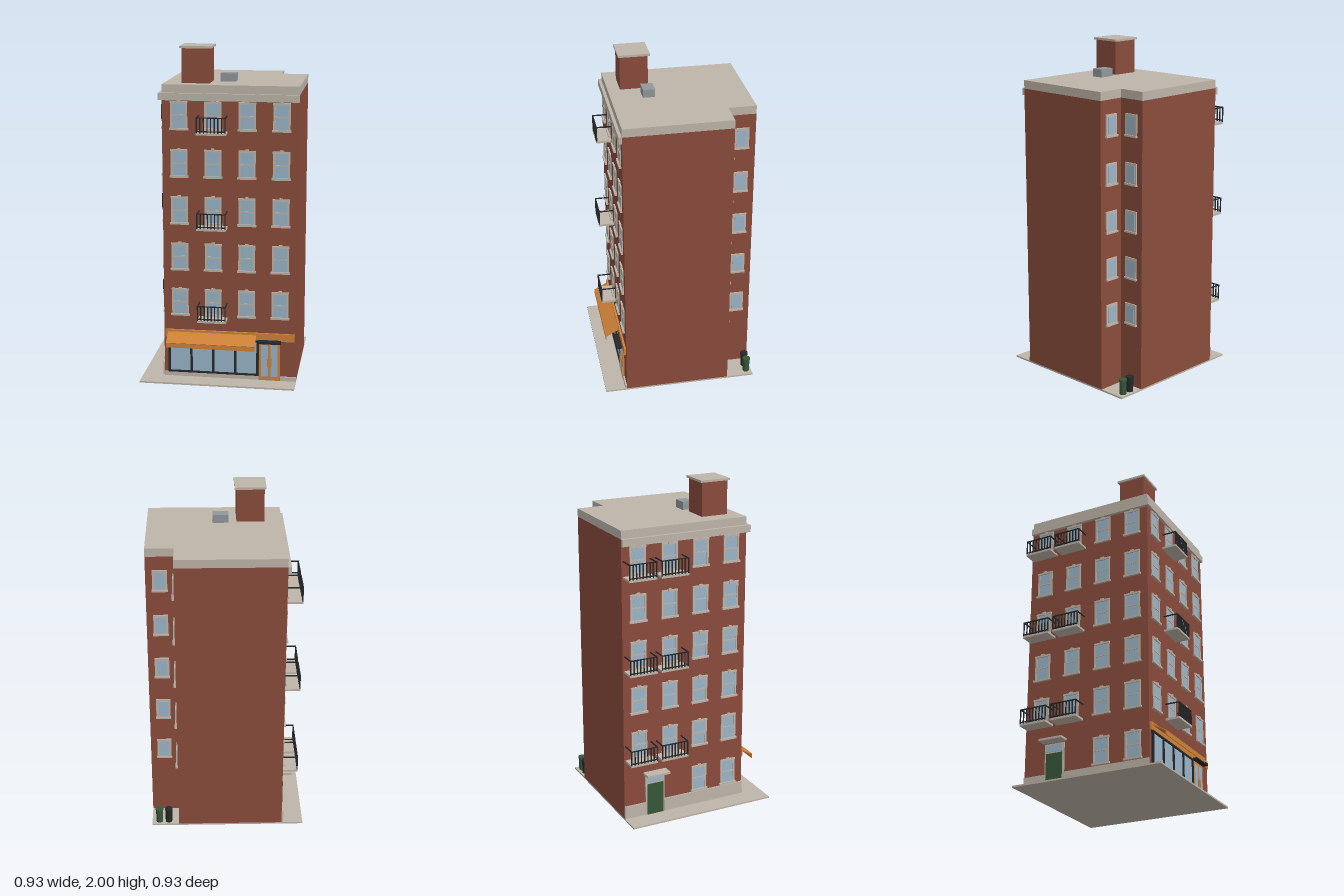
import * as THREE from 'three';

const mat = (name, color, side = THREE.FrontSide) => {
  const m = new THREE.MeshStandardMaterial({ color, side });
  m.name = name;
  return m;
};
const brick = mat('brick', 0x8a4c3c);
const stone = mat('stone', 0xbeb5a9);
const glass = mat('glass', 0x9bb5c8);
const iron = mat('blackIron', 0x25272a);
const orange = mat('orange', 0xd08238, THREE.DoubleSide);
const green = mat('green', 0x35573a);
const metal = mat('greyMetal', 0x92979d);

const FRONT = 0.335, LEFT = -0.335, EDGE = 0.465, NOTCH = 0.3;
const FLOORS = [0, 1, 2, 3, 4].map(i => 0.395 + i * 0.2815);

// Box given by its limits on each axis
function box(parent, name, m, x0, x1, y0, y1, z0, z1) {
  const mesh = new THREE.Mesh(new THREE.BoxGeometry(x1 - x0, y1 - y0, z1 - z0), m);
  mesh.position.set((x0 + x1) / 2, (y0 + y1) / 2, (z0 + z1) / 2);
  mesh.name = name;
  parent.add(mesh);
  return mesh;
}

function group(parent, name, x = 0, y = 0, z = 0, turn = 0) {
  const g = new THREE.Group();
  g.name = name;
  g.position.set(x, y, z);
  g.rotation.y = turn;
  parent.add(g);
  return g;
}

// L-shaped floor plan raised between two heights
function planSlab(parent, name, m, y0, y1) {
  const pts = [[LEFT, -FRONT], [EDGE, -FRONT], [EDGE, NOTCH], [NOTCH, NOTCH], [NOTCH, EDGE], [LEFT, EDGE]];
  const shape = new THREE.Shape(pts.map(p => new THREE.Vector2(...p)));
  const geo = new THREE.ExtrudeGeometry(shape, { depth: y1 - y0, bevelEnabled: false });
  const mesh = new THREE.Mesh(geo.rotateX(-Math.PI / 2), m);
  mesh.position.y = y0;
  mesh.name = name;
  parent.add(mesh);
}

// Sash window; the origin is the bottom centre on the wall, facing +z
function sashWindow(wall, x, y, h = 0.165) {
  const w = group(wall, 'window', x, y, 0);
  box(w, 'pane', glass, -0.042, 0.042, 0.01, h, 0, 0.003);
  for (const s of [-1, 1]) box(w, 'jamb', stone, s * 0.044 - 0.006, s * 0.044 + 0.006, 0.01, h, 0, 0.006);
  box(w, 'meetingRail', stone, -0.04, 0.04, h * 0.52 - 0.004, h * 0.52 + 0.004, 0, 0.006);
  box(w, 'lintel', stone, -0.051, 0.051, h - 0.008, h + 0.004, 0, 0.009);
  box(w, 'keystone', stone, -0.01, 0.01, h - 0.01, h + 0.011, 0, 0.011);
  box(w, 'sill', stone, -0.056, 0.056, 0, 0.012, 0, 0.014);
}

// Plain framed window for the rear light well
function plainWindow(wall, y) {
  const w = group(wall, 'rearWindow', 0, y, 0);
  box(w, 'frame', stone, -0.043, 0.043, 0.005, 0.132, 0, 0.008);
  box(w, 'pane', glass, -0.03, 0.03, 0.02, 0.118, 0.008, 0.01);
  box(w, 'sill', stone, -0.046, 0.046, 0, 0.011, 0, 0.014);
}

// Balcony with a stone floor and iron railing
function balcony(wall, x, y) {
  const b = group(wall, 'balcony', x, y, 0);
  box(b, 'floor', stone, -0.086, 0.086, -0.015, -0.002, 0, 0.09);
  for (const h of [0.004, 0.083]) {
    box(b, 'frontRail', iron, -0.086, 0.086, h, h + 0.006, 0.084, 0.09);
  }
  for (const s of [-1, 1]) {
    box(b, 'sideRail', iron, s * 0.083 - 0.003, s * 0.083 + 0.003, 0.083, 0.089, 0, 0.09);
  }
  for (let i = 0; i < 9; i++) {
    const px = -0.083 + i * 0.02075;
    box(b, 'baluster', iron, px - 0.003, px + 0.003, -0.002, 0.085, 0.084, 0.09);
  }
}

function bin(parent, m, x) {
  const b = group(parent, 'bin', x, 0.01, -0.432);
  const can = new THREE.Mesh(new THREE.CylinderGeometry(0.022, 0.02, 0.085, 16), m);
  can.position.y = 0.0425;
  can.name = 'can';
  const lid = new THREE.Mesh(new THREE.CylinderGeometry(0.024, 0.024, 0.01, 16), m);
  lid.position.y = 0.088;
  lid.name = 'lid';
  b.add(can, lid);
}

export function createModel() {
  const model = new THREE.Group();
  model.name = 'apartmentBlock';

  // Pavement, brick body and roof
  box(model, 'pavement', stone, -EDGE, EDGE, 0, 0.01, -EDGE, EDGE);
  planSlab(model, 'brickBody', brick, 0.01, 1.735);
  planSlab(model, 'roof', stone, 1.735, 1.785);
  box(model, 'frontCornice', stone, -0.355, EDGE, 1.695, 1.737, FRONT, 0.353);
  box(model, 'leftCornice', stone, -0.355, LEFT, 1.695, 1.737, -EDGE, FRONT);

  // Rooftop stair house and vent unit
  box(model, 'stairHouse', brick, -0.23, -0.065, 1.785, 1.987, 0.097, 0.262);
  box(model, 'stairHouseCap', stone, -0.24, -0.053, 1.987, 2, 0.085, 0.272);
  box(model, 'ventUnit', metal, -0.018, 0.075, 1.785, 1.833, 0.08, 0.15);

  // Street walls: same windows, balconies on alternate floors
  const front = group(model, 'frontWall', 0, 0, FRONT);
  const left = group(model, 'leftWall', LEFT, 0, 0, -Math.PI / 2);
  FLOORS.forEach((y, floor) => {
    for (const off of [-0.3, -0.1, 0.1, 0.3]) {
      sashWindow(front, 0.065 + off, y);
      sashWindow(left, -0.065 + off, y);
    }
    if (floor % 2 === 0) {
      balcony(front, -0.035, y);
      balcony(left, -0.37, y);
      balcony(left, -0.17, y);
    }
  });

  // Rear light well
  const wellSide = group(model, 'wellSideWall', NOTCH, 0, -0.383, Math.PI / 2);
  const wellBack = group(model, 'wellBackWall', 0.383, 0, -NOTCH, Math.PI);
  for (const y of FLOORS) {
    plainWindow(wellSide, y);
    plainWindow(wellBack, y);
  }
  bin(model, iron, 0.363);
  bin(model, green, 0.42);

  // Shop front
  const shop = group(front, 'shopFront');
  box(shop, 'plinth', stone, LEFT, 0.24, 0.01, 0.035, 0, 0.01);
  box(shop, 'plinth', stone, 0.37, EDGE, 0.01, 0.035, 0, 0.01);
  box(shop, 'shopGlass', glass, -0.305, 0.235, 0.04, 0.25, 0, 0.005);
  box(shop, 'bottomRail', iron, -0.31, 0.24, 0.035, 0.046, 0, 0.012);
  box(shop, 'topRail', iron, -0.31, 0.24, 0.248, 0.26, 0, 0.012);
  for (let i = 0; i < 5; i++) {
    const x = -0.303 + i * 0.134;
    box(shop, 'mullion', iron, x - 0.007, x + 0.007, 0.035, 0.26, 0, 0.012);
  }
  box(shop, 'fascia', orange, -0.328, 0.455, 0.258, 0.305, 0, 0.012);

  // Awning: sloping sheet and hanging valance
  const slope = box(shop, 'awning', orange, -0.31, 0.225, -0.003, 0.003, -0.0465, 0.0465);
  slope.position.set(-0.0425, 0.267, 0.051);
  slope.rotation.x = Math.atan2(0.045, 0.082);
  box(shop, 'valance', orange, -0.31, 0.225, 0.218, 0.247, 0.088, 0.092);

  // Glazed double entrance door
  const door = group(front, 'shopDoor', 0.305);
  box(door, 'doorFrame', orange, -0.063, 0.063, 0.01, 0.25, 0, 0.012);
  for (const s of [-1, 1]) {
    box(door, 'doorGlass', glass, s * 0.029 - 0.021, s * 0.029 + 0.021, 0.035, 0.235, 0.012, 0.014);
    box(door, 'doorHandle', orange, s * 0.011 - 0.003, s * 0.011 + 0.003, 0.1, 0.15, 0.012, 0.02);
  }
  box(door, 'doorCanopy', iron, -0.07, 0.07, 0.25, 0.265, 0, 0.046);

  // Side entrance, plinth and ground-floor windows
  const side = group(left, 'sideEntrance', -0.265);
  box(side, 'doorSurround', stone, -0.063, 0.063, 0.01, 0.27, 0, 0.008);
  box(side, 'sideDoor', green, -0.052, 0.052, 0.01, 0.21, 0.008, 0.014);
  box(side, 'transom', glass, -0.052, 0.052, 0.22, 0.26, 0.008, 0.011);
  box(side, 'sideCanopy', stone, -0.075, 0.075, 0.277, 0.29, 0, 0.065);
  box(left, 'sidePlinth', stone, -0.202, FRONT, 0.01, 0.09, 0, 0.01);
  box(left, 'sidePlinth', stone, -EDGE, -0.328, 0.01, 0.09, 0, 0.01);
  for (const x of [0.035, 0.235]) sashWindow(left, x, 0.095);

  return model;
}
